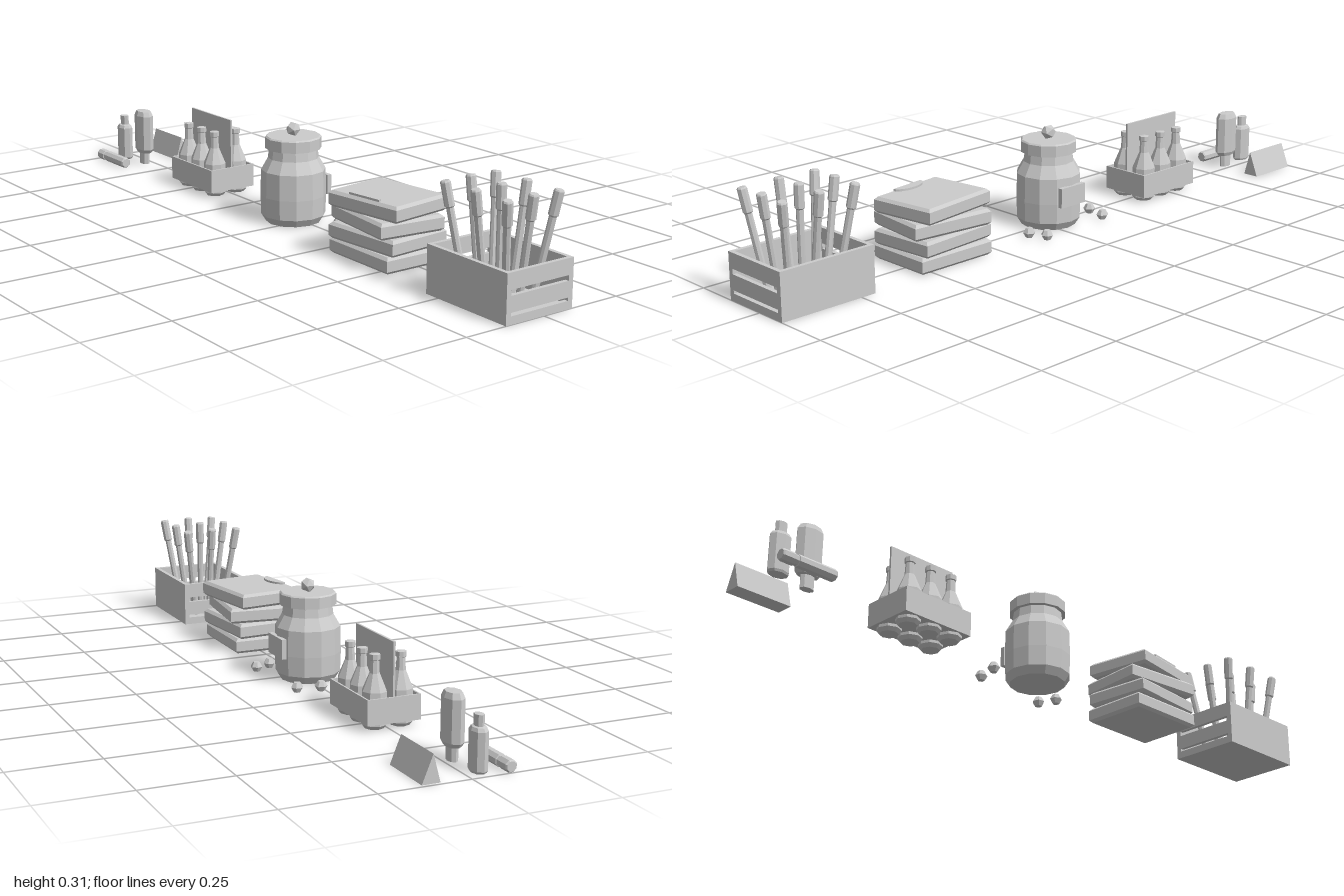
import * as THREE from 'three';

const mat = new THREE.MeshStandardMaterial({ color: 0xcccccc, flatShading: true, side: THREE.DoubleSide });

function add(parent, name, geo, x = 0, y = 0, z = 0) {
  const m = new THREE.Mesh(geo, mat);
  m.name = name;
  m.position.set(x, y, z);
  parent.add(m);
  return m;
}

function group(parent, name, x, z) {
  const g = new THREE.Group();
  g.name = name;
  g.position.set(x, 0, z);
  parent.add(g);
  return g;
}

const box = (w, h, d) => new THREE.BoxGeometry(w, h, d);

// Profile of [radius, height] pairs from bottom to top
const lathe = (pts, sides) =>
  new THREE.LatheGeometry(pts.map(p => new THREE.Vector2(p[0], p[1])), sides);

function rectPath(path, x0, y0, x1, y1) {
  path.moveTo(x0, y0);
  path.lineTo(x1, y0);
  path.lineTo(x1, y1);
  path.lineTo(x0, y1);
  path.closePath();
  return path;
}

// Open crate with slotted ends, holding nine fanned-out sticks
function buildCrate(root) {
  const g = group(root, 'stickCrate', 0.853, 0.015);
  const W = 0.294, H = 0.133, D = 0.22, T = 0.012;
  for (const s of [-1, 1]) add(g, 'crateLongWall', box(W, H, T), 0, H / 2, s * (D - T) / 2);
  add(g, 'crateFloor', box(W - 2 * T, T, D - 2 * T), 0, T / 2, 0);
  const end = rectPath(new THREE.Shape(), -D / 2 + T, 0, D / 2 - T, H);
  for (const y of [0.022, 0.074])
    end.holes.push(rectPath(new THREE.Path(), -0.095, y, 0.095, y + (y < 0.05 ? 0.009 : 0.015)));
  const endGeo = new THREE.ExtrudeGeometry(end, { depth: T, bevelEnabled: false });
  endGeo.translate(0, 0, -T / 2).rotateY(Math.PI / 2);
  for (const s of [-1, 1]) add(g, 'crateSlottedEnd', endGeo, s * (W - T) / 2, 0, 0);

  const stickGeo = lathe([[0, 0], [0.01, 0], [0.01, 0.222], [0.0135, 0.226], [0.0135, 0.288], [0.011, 0.292], [0, 0.292]], 8);
  for (const i of [-1, 0, 1]) for (const j of [-1, 0, 1]) {
    const stick = add(g, 'stick', stickGeo, i * 0.073, 0.014, j * 0.045);
    const dir = new THREE.Vector3(i * 0.14, 1, j * 0.14).normalize();
    stick.quaternion.setFromUnitVectors(new THREE.Vector3(0, 1, 0), dir);
  }
}

// Four chamfered boxes piled at slightly different angles
function buildBoxStack(root) {
  const g = group(root, 'boxStack', 0.412, 0.016);
  const c = 0.008, h = 0.046, w = 0.125 - c, d = 0.1 - c;
  const geo = new THREE.ExtrudeGeometry(rectPath(new THREE.Shape(), -w, -d, w, d),
    { depth: h - 2 * c, bevelThickness: c, bevelSize: c, bevelSegments: 1 });
  geo.translate(0, 0, c).rotateX(-Math.PI / 2);
  [0, 5, -6, 8].forEach((deg, i) => {
    add(g, 'flatBox', geo, 0, i * h, 0).rotation.y = THREE.MathUtils.degToRad(deg);
  });
  // Raised half-round tab at the front edge of the top lid
  const tab = new THREE.Shape().absellipse(0, 0, 0.055, 0.03, 0, Math.PI, false);
  const tabGeo = new THREE.ExtrudeGeometry(tab, { depth: 0.007, bevelEnabled: false, curveSegments: 6 });
  tabGeo.rotateX(-Math.PI / 2).translate(0, 0, d);
  add(g, 'lidTab', tabGeo, 0, 4 * h - 0.001, 0).rotation.y = THREE.MathUtils.degToRad(8);
}

// Twelve-sided jar with lid, knob and a rear label plate, plus loose sweets
function buildJar(root) {
  const g = group(root, 'jar', -0.028, 0.012);
  add(g, 'jarBody', lathe([[0, 0], [0.08, 0], [0.094, 0.022], [0.096, 0.08], [0.094, 0.155],
    [0.074, 0.19], [0.07, 0.22], [0, 0.22]], 12));
  add(g, 'jarLid', lathe([[0, 0.218], [0.082, 0.218], [0.082, 0.25], [0.078, 0.254], [0, 0.254]], 12));
  add(g, 'lidKnob', new THREE.IcosahedronGeometry(0.022, 0), 0, 0.272, 0);
  add(g, 'labelPlate', box(0.095, 0.058, 0.014), 0, 0.102, -0.095);

  const sweetGeo = lathe([[0, 0], [0.01, 0], [0.018, 0.014], [0.01, 0.028], [0, 0.028]], 6);
  [[-0.16, -0.08], [-0.175, -0.013], [0.088, -0.1], [0.11, -0.05]].forEach(([x, z], i) => {
    add(root, 'looseSweet', sweetGeo, x, 0, z).rotation.y = i * 0.7;
  });
}

// Six bottles in an open carrier with a tall central divider
function buildBottleCarrier(root) {
  const g = group(root, 'bottleCarrier', -0.468, 0.008);
  const W = 0.228, D = 0.155, T = 0.005, y0 = 0.018, H = 0.07;
  add(g, 'carrierFloor', box(W, T, D), 0, y0 + T / 2, 0);
  for (const s of [-1, 1]) {
    add(g, 'carrierLongSide', box(W, H, T), 0, y0 + H / 2, s * (D - T) / 2);
    add(g, 'carrierEnd', box(T, H, D - 2 * T), s * (W - T) / 2, y0 + H / 2, 0);
  }
  add(g, 'carrierDivider', box(0.22, 0.215, 0.006), 0, 0.1275, 0);
  const bottleGeo = lathe([[0, 0], [0.026, 0], [0.034, 0.01], [0.034, 0.1], [0.014, 0.148],
    [0.012, 0.182], [0.015, 0.184], [0.015, 0.198], [0, 0.2]], 8);
  for (const i of [-1, 0, 1]) for (const j of [-1, 1])
    add(g, 'bottle', bottleGeo, i * 0.073, 0, j * 0.038);
}

// Tent sign, two oval containers and a tube lying on its side
function buildToiletries(root) {
  const g = group(root, 'toiletries', 0, 0);
  const tri = new THREE.Shape([[0.13, 0], [0.08, 0], [0.1, 0.074]].map(p => new THREE.Vector2(...p)));
  const tent = new THREE.ExtrudeGeometry(tri, { depth: 0.164, bevelEnabled: false });
  tent.rotateY(Math.PI / 2);
  add(g, 'tentSign', tent, -0.99, 0, 0);

  const capped = add(g, 'cappedBottle', lathe([[0, 0], [0.027, 0], [0.031, 0.006], [0.031, 0.105],
    [0.025, 0.114], [0.017, 0.116], [0.017, 0.145], [0, 0.146]], 8), -0.956, 0, 0.04);
  capped.scale.z = 0.7;

  const tube = add(g, 'standingTube', lathe([[0, 0], [0.021, 0], [0.021, 0.036], [0.031, 0.038],
    [0.04, 0.05], [0.04, 0.162], [0.031, 0.177], [0, 0.178]], 8), -0.856, 0, 0.025);
  tube.scale.z = 0.64;

  const lying = lathe([[0, 0], [0.014, 0], [0.017, 0.004], [0.017, 0.116], [0.0145, 0.117],
    [0.0145, 0.126], [0.017, 0.127], [0.017, 0.162], [0.014, 0.166], [0, 0.166]], 8);
  lying.rotateY(Math.PI / 8).rotateZ(Math.PI / 2);
  add(g, 'lyingTube', lying, -0.834, 0.016, 0.108);
}

export function createModel() {
  const root = new THREE.Group();
  root.name = 'shopGoods';
  buildCrate(root);
  buildBoxStack(root);
  buildJar(root);
  buildBottleCarrier(root);
  buildToiletries(root);
  return root;
}
